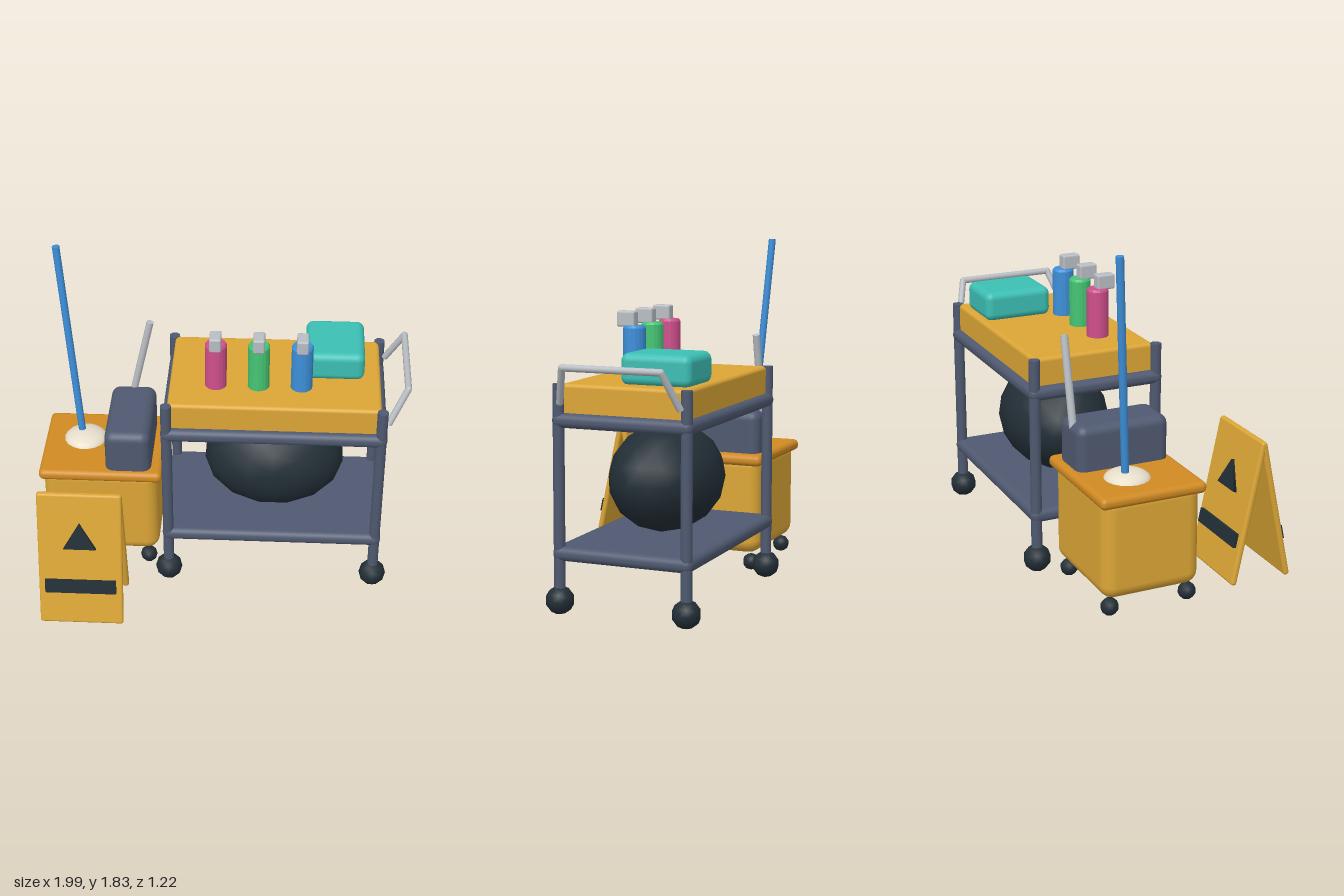
import * as THREE from 'three';
import { RoundedBoxGeometry } from 'three/addons/geometries/RoundedBoxGeometry.js';
import { mergeVertices } from 'three/addons/utils/BufferGeometryUtils.js';

const paint = (name, color) => Object.assign(new THREE.MeshStandardMaterial({ color }), { name });
const slate = paint('slate', 0x4f5970);
const black = paint('black', 0x222e36);
const yellow = paint('yellow', 0xdca636);
const orange = paint('orange', 0xd08a22);
const blue = paint('blue', 0x3d8fd9);
const pink = paint('pink', 0xd04f8c);
const green = paint('green', 0x45c574);
const teal = paint('teal', 0x3cbfb4);
const grey = paint('grey', 0xb9bec4);
const cream = paint('cream', 0xe8dfcc);

function add(parent, name, geometry, material, x = 0, y = 0, z = 0) {
  const mesh = new THREE.Mesh(geometry, material);
  mesh.name = name;
  mesh.position.set(x, y, z);
  parent.add(mesh);
  return mesh;
}

function group(parent, name, x = 0, y = 0, z = 0) {
  const g = new THREE.Group();
  g.name = name;
  g.position.set(x, y, z);
  parent.add(g);
  return g;
}

// Rounded box given by its extents on each axis
function block(parent, name, material, [x0, x1], [y0, y1], [z0, z1], radius) {
  const geometry = new RoundedBoxGeometry(x1 - x0, y1 - y0, z1 - z0, 3, radius);
  return add(parent, name, geometry, material, (x0 + x1) / 2, (y0 + y1) / 2, (z0 + z1) / 2);
}

// Straight round bar between two points
function rod(parent, name, material, from, to, radius) {
  const a = new THREE.Vector3(...from);
  const b = new THREE.Vector3(...to);
  const dir = b.clone().sub(a);
  const mid = a.clone().add(b).multiplyScalar(0.5);
  const mesh = add(parent, name, new THREE.CylinderGeometry(radius, radius, dir.length(), 14), material, mid.x, mid.y, mid.z);
  mesh.quaternion.setFromUnitVectors(new THREE.Vector3(0, 1, 0), dir.normalize());
  return mesh;
}

// Coarse ball with smooth normals
function ball(radius, detail) {
  const g = new THREE.IcosahedronGeometry(radius, detail);
  g.deleteAttribute('uv');
  g.deleteAttribute('normal');
  const merged = mergeVertices(g, 1e-4);
  merged.computeVertexNormals();
  return merged;
}

function buildCart(root) {
  const cart = group(root, 'cart');

  // Posts and casters
  for (const x of [-0.288, 0.847]) {
    for (const z of [-0.54, 0.145]) {
      rod(cart, 'post', slate, [x, 0.1, z], [x, 1.172, z], 0.029);
      add(cart, 'caster', ball(0.074, 1), black, x, 0.08, z);
    }
  }

  // Shelves and top tray
  for (const y of [0.32, 0.99]) {
    block(cart, 'shelf', slate, [-0.32, 0.88], [y - 0.037, y + 0.037], [-0.573, 0.177], 0.034);
  }
  block(cart, 'tray', yellow, [-0.283, 0.843], [1.0, 1.172], [-0.54, 0.137], 0.02);

  // Rubbish bag
  add(cart, 'bag', ball(1, 2), black, 0.283, 0.64, -0.197).scale.set(0.388, 0.285, 0.29);

  // Push handle
  const points = [[0.88, 1.08, 0.12], [0.975, 1.267, 0.06], [0.975, 1.267, -0.46], [0.88, 1.08, -0.52]];
  for (let i = 0; i < 3; i++) rod(cart, 'pushHandle', grey, points[i], points[i + 1], 0.018);
  for (const p of points.slice(1, 3)) add(cart, 'handleCorner', new THREE.SphereGeometry(0.018, 12, 8), grey, ...p);

  // Spray bottles
  const profile = [[0, 0], [0.058, 0], [0.058, 0.25], [0.05, 0.262], [0, 0.262]].map(p => new THREE.Vector2(...p));
  [[pink, -0.035], [green, 0.192], [blue, 0.42]].forEach(([material, x]) => {
    const bottle = group(cart, 'bottle', x, 1.17, -0.074);
    const body = new THREE.LatheGeometry(profile, 18).toNonIndexed();
    body.computeVertexNormals();
    add(bottle, 'bottleBody', body, material);
    block(bottle, 'bottleNozzle', grey, [-0.031, 0.031], [0.255, 0.335], [-0.01, 0.088], 0.01);
  });

  // Folded cloths
  block(cart, 'cloths', teal, [0.44, 0.754], [1.165, 1.325], [-0.515, -0.14], 0.04);
}

function buildBucket(root) {
  const bucket = group(root, 'mopBucket');
  block(bucket, 'bucketBody', yellow, [-0.98, -0.35], [0.107, 0.66], [-0.465, 0.067], 0.07);
  block(bucket, 'bucketRim', orange, [-1.0, -0.325], [0.605, 0.667], [-0.488, 0.086], 0.028);
  for (const x of [-0.915, -0.412]) {
    for (const z of [-0.41, 0.02]) add(bucket, 'bucketCaster', ball(0.047, 1), black, x, 0.055, z);
  }

  // Wringer with its lever
  block(bucket, 'wringer', slate, [-0.637, -0.387], [0.6, 0.902], [-0.45, 0.055], 0.05);
  rod(bucket, 'wringerLever', grey, [-0.525, 0.83, -0.428], [-0.413, 1.325, -0.428], 0.02);

  // Mop
  add(bucket, 'mopHead', new THREE.SphereGeometry(0.122, 18, 12), cream, -0.775, 0.655, -0.25).scale.y = 0.45;
  rod(bucket, 'mopHandle', blue, [-0.792, 0.65, -0.267], [-0.89, 1.83, -0.347], 0.02);
}

function buildSign(root) {
  const sign = group(root, 'floorSign', -0.727, 0, 0.432);
  const triangle = new THREE.CylinderGeometry(0.1, 0.1, 0.018, 3).rotateX(-Math.PI / 2);

  // Two leaning panels, back to back
  for (const turn of [0, Math.PI]) {
    const side = group(sign, 'signSide');
    side.rotation.y = turn;
    const panel = group(side, 'signPanel', 0, 0.42, 0.078);
    panel.rotation.x = -0.207;
    add(panel, 'board', new RoundedBoxGeometry(0.45, 0.775, 0.032, 3, 0.014), yellow);
    add(panel, 'warningTriangle', triangle, black, 0, 0.122, 0.025);
    add(panel, 'warningBar', new THREE.BoxGeometry(0.38, 0.075, 0.018), black, 0, -0.155, 0.025);
  }
}

export function createModel() {
  const root = new THREE.Group();
  root.name = 'cleaningSet';
  buildCart(root);
  buildBucket(root);
  buildSign(root);
  return root;
}
